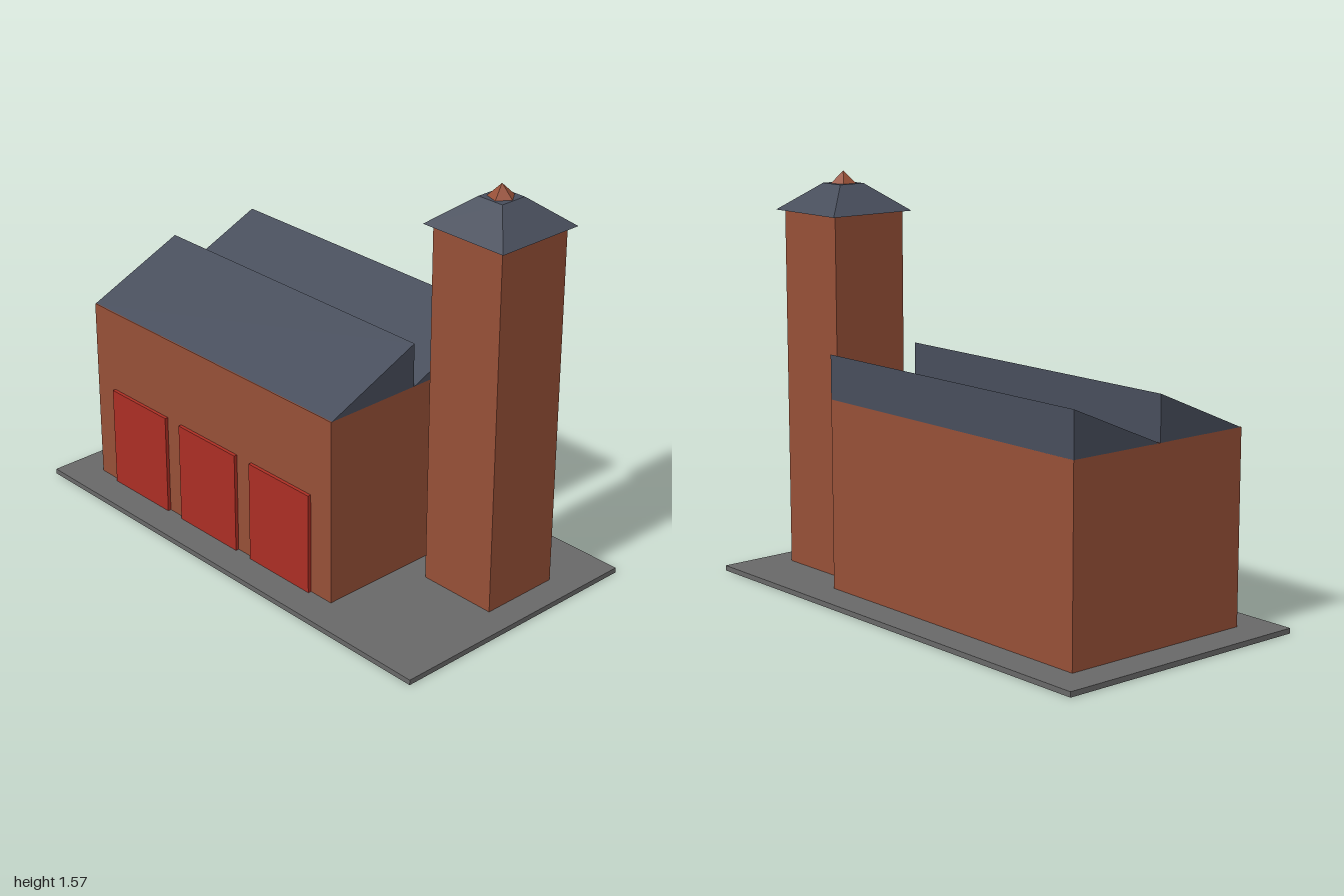
import * as THREE from 'three';

const material = (name, color) => {
  const m = new THREE.MeshStandardMaterial({ color });
  m.name = name;
  return m;
};

export function createModel() {
  const brick = material('brick', 0x964f37);
  const slate = material('slate', 0x474d5b);
  const red = material('door red', 0xab2e24);
  const concrete = material('concrete', 0x686868);
  const group = new THREE.Group();

  const add = (name, geometry, mat, x, y, z) => {
    const mesh = new THREE.Mesh(geometry, mat);
    mesh.name = name;
    mesh.position.set(x, y, z);
    group.add(mesh);
    return mesh;
  };
  // Box resting on height y
  const box = (name, w, h, d, mat, x, y, z) =>
    add(name, new THREE.BoxGeometry(w, h, d), mat, x, y + h / 2, z);

  // Ground slab and main hall
  box('groundSlab', 2, 0.02, 1.064, concrete, 0, 0, 0);
  box('hallWalls', 1.33, 0.73, 0.8, brick, -0.2, 0.02, 0);

  // Sawtooth roof: each tooth slopes up to the back and drops straight down
  const tooth = new THREE.Shape([
    new THREE.Vector2(0, 0),
    new THREE.Vector2(0.4, 0),
    new THREE.Vector2(0.4, 0.172),
  ]);
  const toothGeometry = new THREE.ExtrudeGeometry(tooth, { depth: 1.33, bevelEnabled: false });
  toothGeometry.rotateY(Math.PI / 2); // profile runs towards -z, length along +x
  [0.4, 0].forEach((z, i) => add(`roofTooth${i + 1}`, toothGeometry, slate, -0.865, 0.748, z));

  // Three loading doors
  [-0.6, -0.2, 0.2].forEach((x, i) =>
    box(`loadingDoor${i + 1}`, 0.32, 0.4, 0.025, red, x, 0.02, 0.401));

  // Tower with a truncated pyramid roof and a five-sided finial
  const tx = 0.73, tz = -0.133;
  box('towerShaft', 0.32, 1.395, 0.32, brick, tx, 0.02, tz);
  const cap = new THREE.CylinderGeometry(0.055 * Math.SQRT2, 0.185 * Math.SQRT2, 0.104, 4, 1, false, Math.PI / 4)
    .toNonIndexed();
  cap.computeVertexNormals();
  add('towerRoof', cap, slate, tx, 1.467, tz);
  const tip = new THREE.ConeGeometry(0.05, 0.048, 5, 1, false, Math.PI / 2).toNonIndexed();
  tip.computeVertexNormals();
  add('finial', tip, brick, tx, 1.543, tz);

  return group;
}
